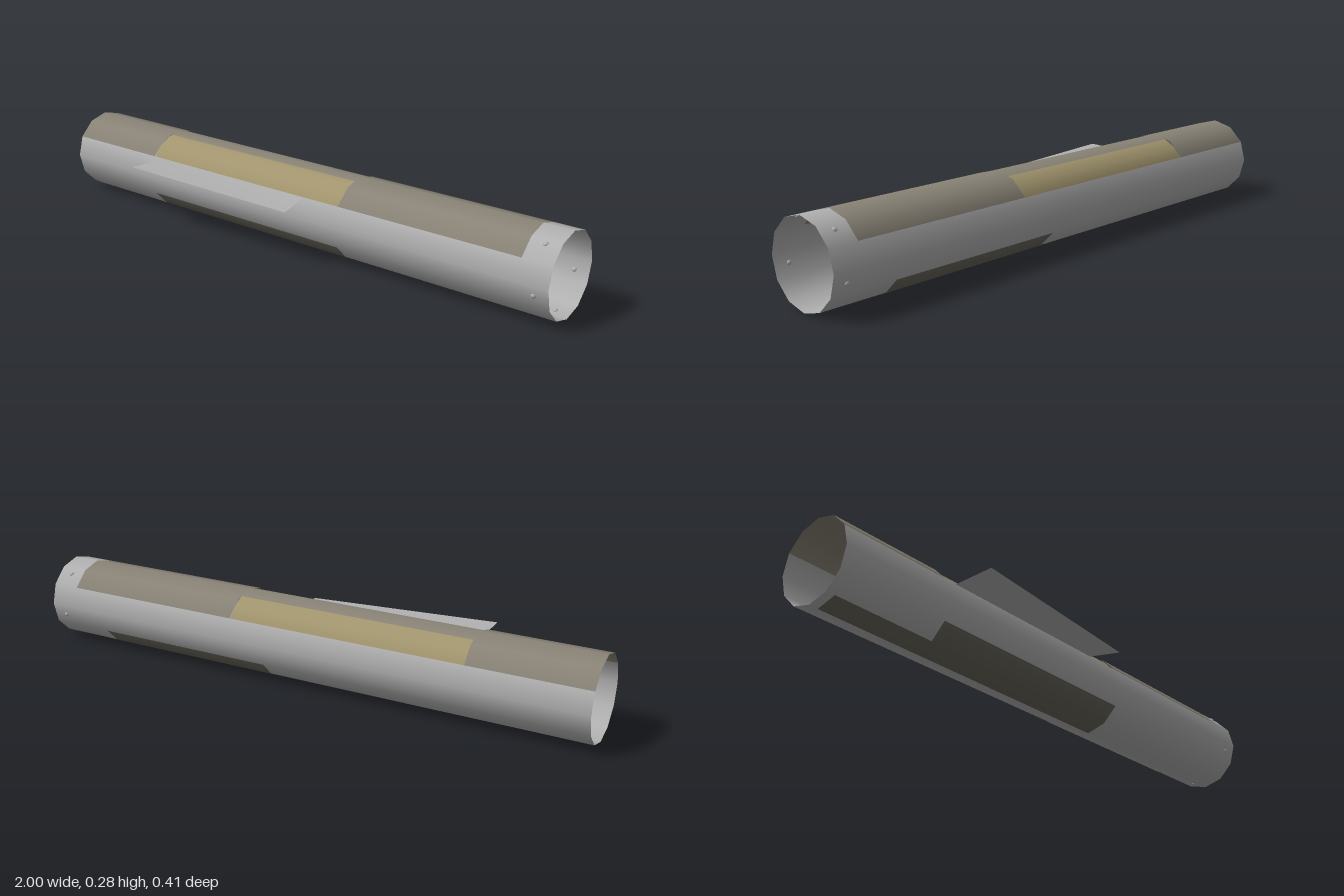
import * as THREE from 'three';

const CY = 0.145, CZ = -0.063, R = 0.141;
const rad = THREE.MathUtils.degToRad;
const mat = (name, color) => {
  const m = new THREE.MeshStandardMaterial({ color, side: THREE.DoubleSide });
  m.name = name;
  return m;
};

// Strip of a faceted tube along x, between two angles measured from the top toward the front
function shell(a0, a1, x0, x1, r = R, step = 30) {
  const angles = [a0];
  for (let a = (Math.floor(a0 / step) + 1) * step; a < a1; a += step) angles.push(a);
  angles.push(a1);
  const pos = [], nor = [], idx = [];
  angles.forEach((a, i) => {
    const local = a - Math.floor(a / step) * step - step / 2;
    const d = r * Math.cos(rad(step / 2)) / Math.cos(rad(local)); // stay on the flat facet
    const c = Math.cos(rad(a)), s = Math.sin(rad(a));
    for (const x of [x0, x1]) {
      pos.push(x, CY + d * c, CZ + d * s);
      nor.push(0, c, s);
    }
    const k = i * 2;
    if (i < angles.length - 1) idx.push(k, k + 2, k + 3, k, k + 3, k + 1);
  });
  const g = new THREE.BufferGeometry();
  g.setAttribute('position', new THREE.Float32BufferAttribute(pos, 3));
  g.setAttribute('normal', new THREE.Float32BufferAttribute(nor, 3));
  g.setIndex(idx);
  return g;
}

export function createModel() {
  const group = new THREE.Group();
  const gray = mat('bareMetal', 0xb2b2b2);
  const olive = mat('olivePaint', 0x8a8477);
  const tan = mat('tanLining', 0xa3966f);
  const dark = mat('darkUnderside', 0x68665a);
  const add = (name, geometry, material) => {
    const m = new THREE.Mesh(geometry, material);
    m.name = name;
    group.add(m);
    return m;
  };

  // Open tube: bare lower body and end collar
  add('lowerBody', shell(60, 300, -1, 0.9), gray);
  add('endCollar', shell(0, 360, 0.9, 1), gray);

  // Painted upper body, with two long openings between x0 and x1
  const x0 = -0.6, x1 = 0.24;
  add('upperBodyRear', shell(-60, 60, -1, x0), olive);
  add('upperBodyFront', shell(-60, 60, x1, 0.9), olive);
  add('upperSpine', shell(-21, 13, x0, x1), olive);

  // Curved lining beneath the openings
  add('slotLining', shell(-60, 60, x0, x1, 0.135, 20), tan);
  add('slotLiningInside', shell(-60, 60, x0, x1, 0.131, 20), olive);

  // Dark strips on the underside
  add('frontLowerStrip', shell(120, 150, x0, x1, R + 0.001), dark);
  add('bottomStrip', shell(150, 180, -0.97, x1, R + 0.001), dark);
  add('backLowerStrip', shell(210, 240, 0.11, 0.77, R + 0.001), dark);

  // Thin twisted fin on the front side
  const fin = new THREE.BufferGeometry();
  fin.setAttribute('position', new THREE.Float32BufferAttribute([
    -0.56, 0.215, 0.058, -0.56, 0.219, 0.206, 0.115, 0.2, 0.176, 0.1, 0.215, 0.058], 3));
  fin.setIndex([0, 1, 2, 0, 2, 3]);
  fin.computeVertexNormals();
  add('fin', fin, gray);

  // Rivets around the collar
  const rivet = new THREE.SphereGeometry(0.008, 10, 6);
  rivet.scale(1, 0.6, 1);
  for (const a of [35, 104, 190, 254, 321]) {
    const d = R * Math.cos(rad(15)) / Math.cos(rad((a % 30) - 15));
    const m = add('rivet', rivet, gray);
    m.position.set(0.95, CY + d * Math.cos(rad(a)), CZ + d * Math.sin(rad(a)));
    m.rotation.x = rad(a);
  }
  return group;
}
